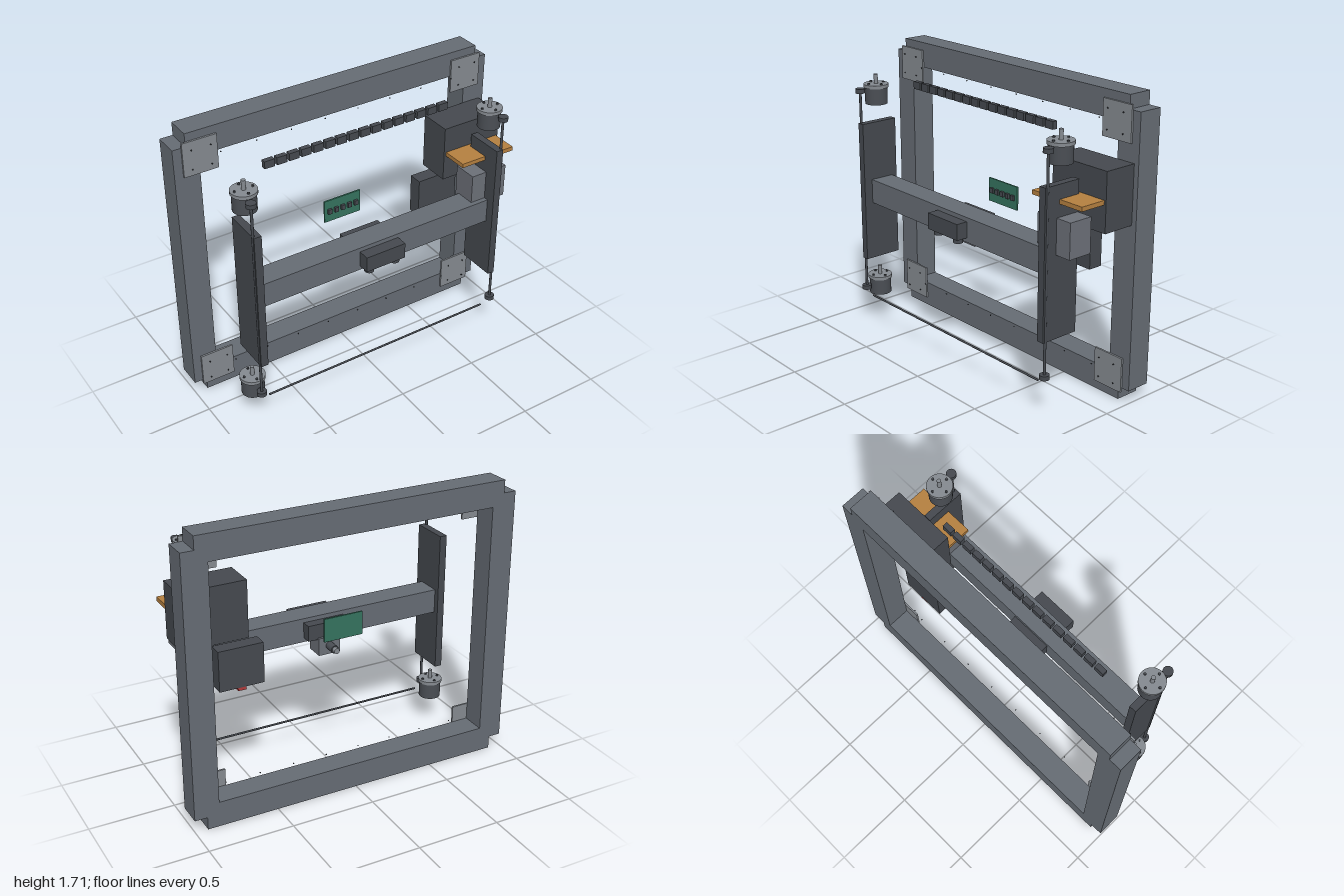
import * as THREE from 'three';

const mat = (color) => new THREE.MeshStandardMaterial({ color });
const FRAME = mat(0x666c74), DARK = mat(0x45494f), STEEL = mat(0x858a90),
  BODY = mat(0x4a4e54), LIGHT = mat(0x6c7078), GREEN = mat(0x35735e),
  ORANGE = mat(0xb58040), RED = mat(0xb03a3a);

export function createModel() {
  const root = new THREE.Group();
  root.name = 'gantryMachine';

  const add = (name, geo, m, x, y, z, parent = root) => {
    const mesh = new THREE.Mesh(geo, m);
    mesh.name = name;
    mesh.position.set(x, y, z);
    parent.add(mesh);
    return mesh;
  };
  // Box from its minimum and maximum along each axis
  const box = (name, m, [x0, x1], [y0, y1], [z0, z1], parent) =>
    add(name, new THREE.BoxGeometry(x1 - x0, y1 - y0, z1 - z0), m,
      (x0 + x1) / 2, (y0 + y1) / 2, (z0 + z1) / 2, parent);
  // Upright cylinder from y0 to y1
  const post = (name, m, r, x, y0, y1, z, parent, sides = 24) =>
    add(name, new THREE.CylinderGeometry(r, r, y1 - y0, sides), m, x, (y0 + y1) / 2, z, parent);
  // Cylinder lying along z
  const barrel = (name, m, r, x, y, z0, z1, parent) => {
    const c = add(name, new THREE.CylinderGeometry(r, r, z1 - z0, 24), m, x, y, (z0 + z1) / 2, parent);
    c.rotation.x = Math.PI / 2;
    return c;
  };
  const group = (name) => {
    const g = new THREE.Group();
    g.name = name;
    root.add(g);
    return g;
  };

  // Rectangular frame with stepped corners
  const frame = group('frame');
  const depth = [-0.31, -0.165];
  box('topBar', FRAME, [-0.925, 0.925], [1.556, 1.706], depth, frame);
  box('bottomBar', FRAME, [-0.925, 0.925], [0, 0.152], depth, frame);
  box('rightPost', FRAME, [-1, -0.853], [0.076, 1.63], depth, frame);
  box('leftPost', FRAME, [0.853, 1], [0.076, 1.63], depth, frame);

  // Corner plates and their screws
  const screw = new THREE.SphereGeometry(0.004, 8, 6);
  for (const sx of [-1, 1]) for (const y of [0.153, 1.558]) {
    const g = group('cornerPlate');
    box('plate', STEEL, [sx * 0.85 - 0.1, sx * 0.85 + 0.1], [y - 0.101, y + 0.101], [-0.165, -0.154], g);
    for (const dx of [-0.055, 0.055]) for (const dy of [-0.057, 0.057])
      add('plateScrew', screw, DARK, sx * 0.85 + dx, y + dy, -0.14, g);
  }
  // Screws along the inner edges of the bars
  const edgeScrews = group('edgeScrews');
  for (const y of [0.152, 1.556]) for (let i = 0; i < 8; i++)
    add('edgeScrew', screw, DARK, -0.74 + i * 0.2114, y, -0.14, edgeScrews);

  // Row of cable chain links
  const chain = group('cableChain');
  for (let i = 0; i < 16; i++) {
    const x = (i - 7.5) * 0.074;
    box('chainLink', DARK, [x - 0.03, x + 0.03], [1.488, 1.532], [0.01, 0.04], chain);
  }

  // Motors with flange, shaft and four bolts
  const motor = (x, y) => {
    const g = group('motor');
    post('motorBody', BODY, 0.066, x, y, y + 0.105, 0.17, g, 32);
    post('motorFlange', STEEL, 0.073, x, y + 0.098, y + 0.118, 0.17, g, 32);
    post('motorShaft', STEEL, 0.012, x, y + 0.118, y + 0.174, 0.17, g);
    for (let i = 0; i < 4; i++) {
      const a = i * Math.PI / 2;
      post('motorBolt', DARK, 0.007, x + 0.052 * Math.cos(a), y + 0.118, y + 0.126,
        0.17 + 0.052 * Math.sin(a), g, 10);
    }
  };
  motor(-0.78, 1.387);
  motor(0.78, 1.387);
  motor(-0.797, 0.175);

  // Side panels and vertical drive rods with end pulleys
  for (const s of [-1, 1]) {
    box('sidePanel', DARK, [s * 0.778 - 0.022, s * 0.778 + 0.022], [0.43, 1.28], [0.055, 0.29]);
    const g = group('driveRod');
    post('rod', DARK, 0.008, s * 0.797, 0.23, 1.48, 0.272, g, 12);
    post('upperPulley', DARK, 0.028, s * 0.797, 1.46, 1.486, 0.272, g);
    post('lowerPulley', DARK, 0.028, s * 0.797, 0.22, 0.246, 0.272, g);
  }

  // Horizontal drive rod
  const cross = add('crossRod', new THREE.CylinderGeometry(0.006, 0.006, 1.485, 12), DARK, -0.003, 0.187, 0.262);
  cross.rotation.z = Math.PI / 2;

  // Gantry beam and carriage
  box('gantryBeam', FRAME, [-0.76, 0.76], [0.784, 0.93], [0.09, 0.237]);
  const carriage = group('carriage');
  box('carriageBlock', DARK, [-0.127, 0.127], [0.81, 0.905], [0.03, 0.307], carriage);
  for (const x of [-0.085, 0.085]) post('roller', DARK, 0.028, x, 0.78, 0.81, 0.265, carriage);
  box('toolBlock', LIGHT, [-0.068, 0.068], [0.713, 0.82], [0.015, 0.13], carriage);
  barrel('toolBarrel', BODY, 0.024, 0, 0.766, -0.05, 0.015, carriage);
  barrel('toolTip', STEEL, 0.017, 0, 0.766, -0.075, -0.05, carriage);

  // Circuit board with chips
  const board = group('circuitBoard');
  box('board', GREEN, [-0.12, 0.12], [0.88, 1.02], [-0.15, -0.14], board);
  for (let i = -2; i <= 2; i++)
    box('chip', DARK, [i * 0.044 - 0.012, i * 0.044 + 0.012], [0.935, 0.965], [-0.14, -0.126], board);

  // Cabinets on the left post
  box('upperCabinet', DARK, [0.583, 0.97], [1.022, 1.355], [-0.165, 0.032]);
  box('shelf', ORANGE, [0.597, 0.957], [1.175, 1.2], [0.03, 0.19]);
  box('pumpBox', LIGHT, [0.66, 0.898], [0.903, 1.104], [0.06, 0.208]);
  barrel('pumpBarrel', BODY, 0.06, 0.779, 1.004, 0, 0.06);
  box('lowerCabinet', DARK, [0.497, 0.763], [0.735, 0.975], [-0.165, -0.08]);
  box('stopButton', RED, [0.604, 0.654], [0.716, 0.735], [-0.163, -0.127]);

  return root;
}
